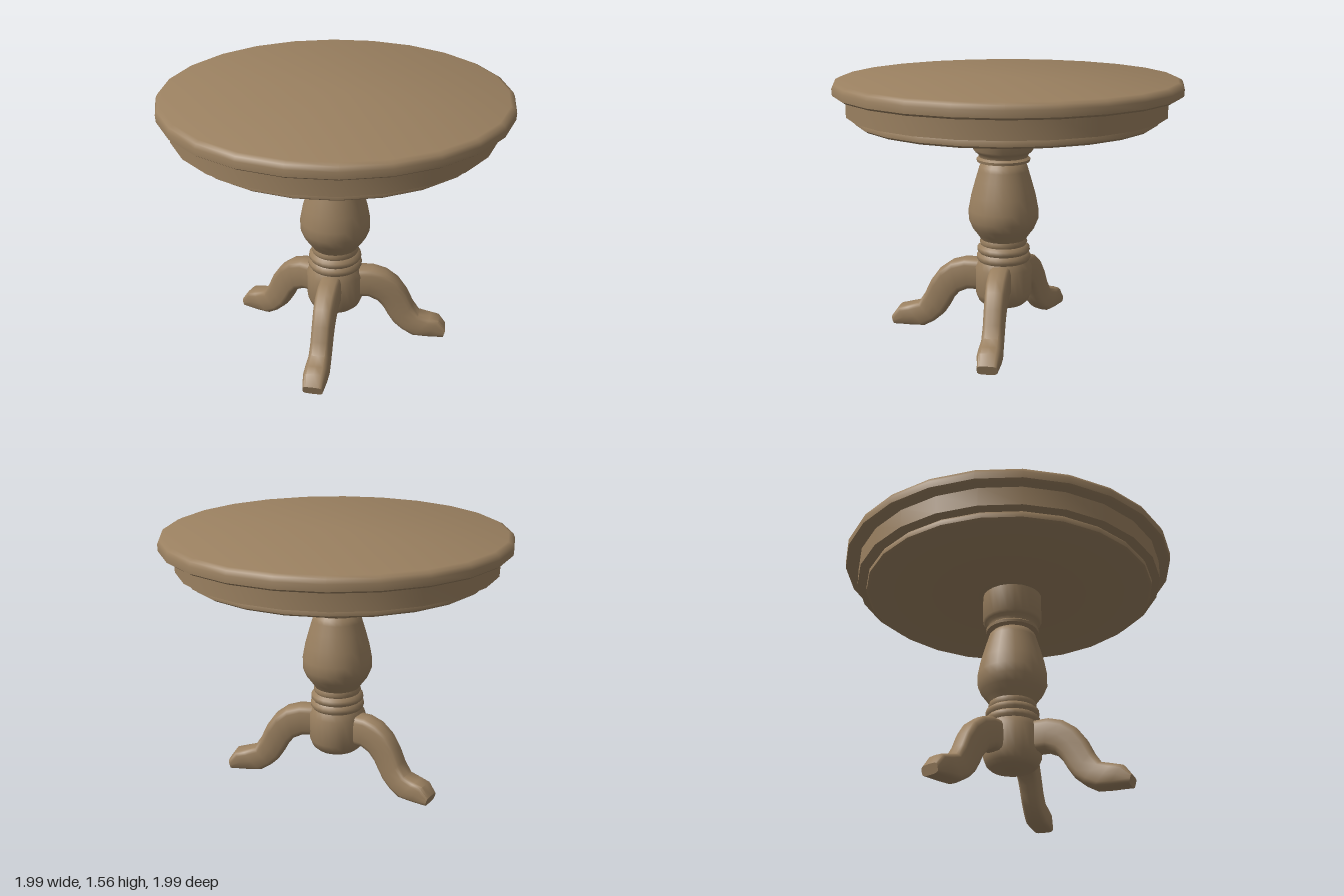
import * as THREE from 'three';
import { toCreasedNormals } from 'three/addons/utils/BufferGeometryUtils.js';

const wood = new THREE.MeshStandardMaterial({ color: 0x9a8060 });
wood.name = 'wood';

// Turned part from [radius, y] points, listed bottom to top
function turned(name, points, sides, x, z, crease = 0.7) {
  const profile = points.map(([r, y]) => new THREE.Vector2(r, y));
  const geometry = new THREE.LatheGeometry(profile, sides);
  geometry.rotateY(THREE.MathUtils.degToRad(6.6));
  const mesh = new THREE.Mesh(toCreasedNormals(geometry, crease), wood);
  mesh.name = name;
  mesh.position.set(x, 0, z);
  return mesh;
}

// Leg stations: top edge (r, y), bottom edge (r, y), half width
const stations = [
  [0.12, 0.450, 0.12, 0.262, 0.066],
  [0.22, 0.452, 0.20, 0.262, 0.066],
  [0.30, 0.428, 0.255, 0.235, 0.065],
  [0.37, 0.375, 0.29, 0.190, 0.062],
  [0.425, 0.295, 0.315, 0.140, 0.060],
  [0.46, 0.215, 0.35, 0.085, 0.060],
  [0.50, 0.150, 0.40, 0.040, 0.062],
  [0.57, 0.130, 0.46, 0.004, 0.067],
  [0.62, 0.115, 0.54, 0.000, 0.067],
  [0.66, 0.055, 0.645, 0.000, 0.058],
];

// Curved leg lofted through rounded-square cross-sections
function legGeometry() {
  const n = 16, pos = [], index = [];
  const soft = (v) => Math.sign(v) * Math.pow(Math.abs(v), 0.5);
  for (const [tr, ty, br, by, w] of stations) {
    for (let j = 0; j < n; j++) {
      const a = (j / n) * Math.PI * 2;
      const u = (1 + soft(Math.cos(a))) / 2;
      pos.push(br + (tr - br) * u, by + (ty - by) * u, soft(Math.sin(a)) * w);
    }
  }
  for (let i = 0; i < stations.length - 1; i++) {
    for (let j = 0; j < n; j++) {
      const k = (j + 1) % n;
      const a = i * n + j, b = i * n + k, c = a + n, d = b + n;
      index.push(a, b, c, b, d, c);
    }
  }
  // toe cap
  const last = (stations.length - 1) * n;
  const [tr, ty, br, by] = stations[stations.length - 1];
  pos.push((tr + br) / 2, (ty + by) / 2, 0);
  for (let j = 0; j < n; j++) index.push(last + n, last + j, last + ((j + 1) % n));
  const geometry = new THREE.BufferGeometry();
  geometry.setAttribute('position', new THREE.Float32BufferAttribute(pos, 3));
  geometry.setIndex(index);
  return toCreasedNormals(geometry, 0.8);
}

export function createModel() {
  const table = new THREE.Group();
  table.name = 'pedestalTable';

  // Round top with a softened rim
  table.add(turned('tableTop', [
    [0, 1.475], [0.98, 1.475], [0.998, 1.487], [1.0, 1.525],
    [0.99, 1.548], [0.965, 1.56], [0, 1.562],
  ], 24, 0, 0, 0.9));

  // Apron and the moulding below it
  table.add(turned('apron', [[0, 1.362], [0.922, 1.362], [0.922, 1.48]], 24, 0, 0.01));
  table.add(turned('apronMoulding', [
    [0, 1.31], [0.852, 1.31], [0.87, 1.322], [0.872, 1.345], [0.86, 1.365],
  ], 24, 0.005, 0.008));

  // Turned column: hub, rings, baluster, collar and cap
  const cx = 0.02, cz = 0.02;
  table.add(turned('column', [
    [0, 0.203], [0.125, 0.203], [0.15, 0.225], [0.168, 0.27], [0.17, 0.43], [0.15, 0.47],
    [0.16, 0.485], [0.16, 0.505], [0.145, 0.52], [0.157, 0.535], [0.155, 0.555],
    [0.135, 0.57], [0.142, 0.585], [0.135, 0.605],
    [0.155, 0.635], [0.185, 0.675], [0.206, 0.725], [0.206, 0.785], [0.19, 0.87],
    [0.165, 0.96], [0.147, 1.02], [0.14, 1.045], [0.122, 1.065],
    [0.155, 1.072], [0.158, 1.088], [0.143, 1.1], [0.148, 1.118], [0.165, 1.13],
    [0.177, 1.145], [0.178, 1.32],
  ], 24, cx, cz, 0.9));

  // Three legs: direction in degrees from +x towards +z, length factor, lift
  const leg = legGeometry();
  for (const [angle, length, lift] of [[159, 1, 0], [50, 1.06, 0.017], [-45, 1.03, 0.017]]) {
    const mesh = new THREE.Mesh(leg, wood);
    mesh.name = 'leg';
    mesh.position.set(cx, lift, cz);
    mesh.rotation.y = -THREE.MathUtils.degToRad(angle);
    mesh.scale.x = length;
    table.add(mesh);
  }
  return table;
}
